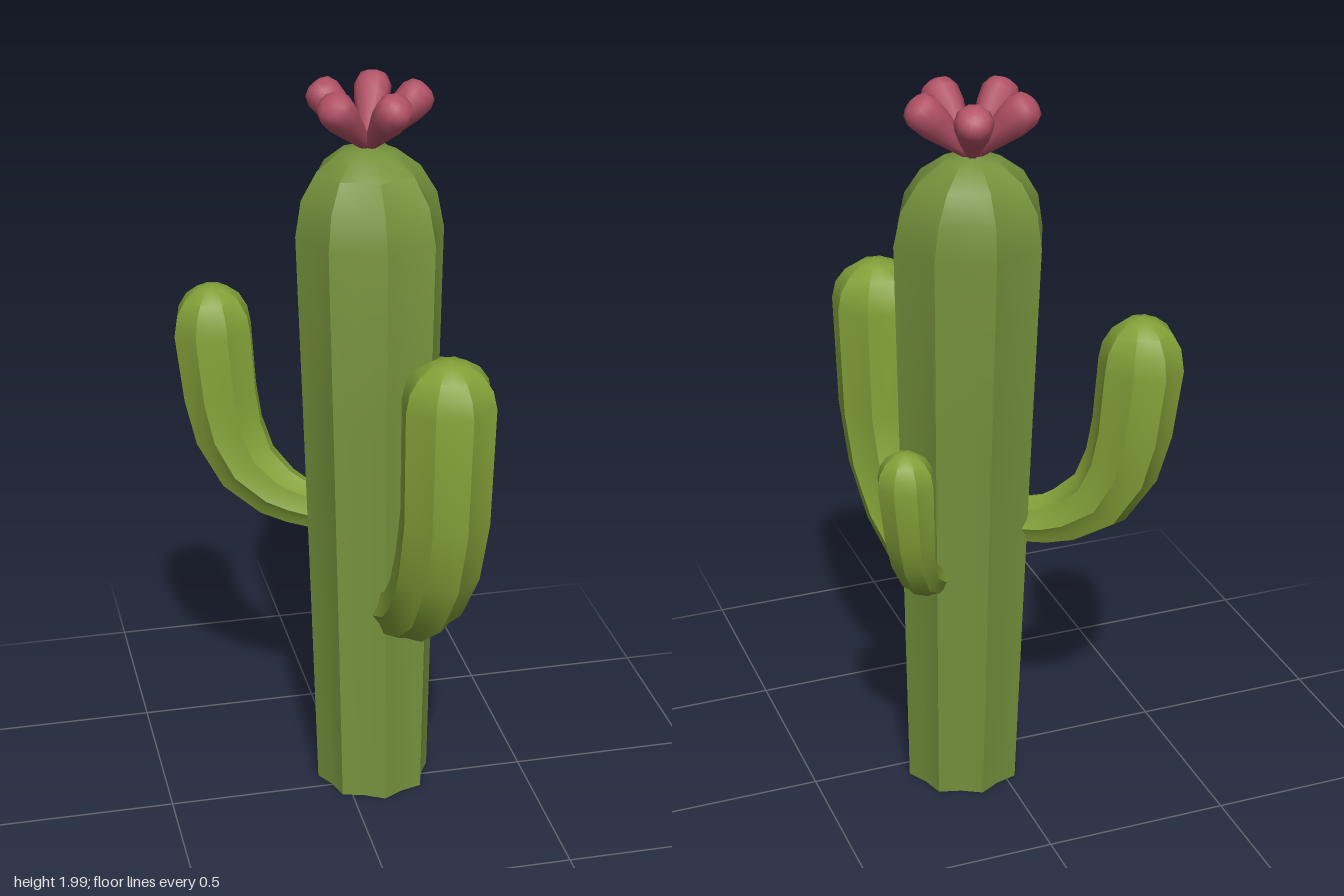
import * as THREE from 'three';
import { toCreasedNormals } from 'three/addons/utils/BufferGeometryUtils.js';

const RIBS = 8;
const VALLEY = 0.88;

// Ribbed, open-based tube through stations [x, y, z, radius], closed by a domed cap.
// side: horizontal vector across the bend; level: keep every ring horizontal.
function ribbedStem(stations, capHeight, capLean, side, level) {
  const rings = stations.map(([x, y, z, r]) => ({ p: new THREE.Vector3(x, y, z), r }));
  const end = rings[rings.length - 1];
  for (const deg of [24, 46, 68, 90]) {
    const a = THREE.MathUtils.degToRad(deg);
    const p = end.p.clone();
    p.y += capHeight * Math.sin(a);
    p.z += capLean * Math.sin(a);
    rings.push({ p, r: end.r * Math.cos(a) });
  }

  const n = RIBS * 2;
  const positions = [];
  const index = [];
  rings.forEach(({ p, r }, i) => {
    const before = rings[Math.max(i - 1, 0)].p;
    const after = rings[Math.min(i + 1, rings.length - 1)].p;
    const tangent = level ? new THREE.Vector3(0, 1, 0) : after.clone().sub(before).normalize();
    const normal = tangent.clone().cross(side).normalize();
    for (let j = 0; j < n; j++) {
      const a = (j / n) * Math.PI * 2;
      const rr = r * (j % 2 ? VALLEY : 1);
      const v = p.clone().addScaledVector(side, rr * Math.cos(a)).addScaledVector(normal, rr * Math.sin(a));
      positions.push(v.x, v.y, v.z);
    }
    if (i === 0) return;
    for (let j = 0; j < n; j++) {
      const k = (j + 1) % n;
      const a = (i - 1) * n + j, b = (i - 1) * n + k, c = i * n + j, d = i * n + k;
      index.push(a, b, c);
      if (i < rings.length - 1) index.push(b, d, c);
    }
  });

  const geometry = new THREE.BufferGeometry();
  geometry.setAttribute('position', new THREE.Float32BufferAttribute(positions, 3));
  geometry.setIndex(index);
  return toCreasedNormals(geometry, THREE.MathUtils.degToRad(38));
}

export function createModel() {
  const model = new THREE.Group();
  model.name = 'cactus';
  const trunkMaterial = new THREE.MeshStandardMaterial({ color: 0x75923c, side: THREE.DoubleSide });
  const armMaterial = new THREE.MeshStandardMaterial({ color: 0x82a038, side: THREE.DoubleSide });
  const petalMaterial = new THREE.MeshStandardMaterial({ color: 0xb05064 });

  const add = (name, geometry, material, parent = model) => {
    const mesh = new THREE.Mesh(geometry, material);
    mesh.name = name;
    parent.add(mesh);
    return mesh;
  };

  // Trunk: widens and leans back slightly towards its dome
  add('trunk', ribbedStem([
    [0.085, 0, -0.055, 0.158],
    [0.085, 0.55, -0.075, 0.171],
    [0.085, 1.1, -0.095, 0.185],
    [0.085, 1.6, -0.115, 0.198],
  ], 0.23, -0.025, new THREE.Vector3(1, 0, 0), true), trunkMaterial);

  // Arms: leave the trunk sideways, then curve upwards
  const arms = [
    { name: 'frontArm', cap: 0.12, path: [
      [0.12, 0.565, 0.03, 0.075], [0.13, 0.58, 0.07, 0.08], [0.145, 0.615, 0.14, 0.09],
      [0.16, 0.695, 0.225, 0.105], [0.175, 0.82, 0.285, 0.115],
      [0.185, 0.97, 0.312, 0.119], [0.193, 1.28, 0.302, 0.124]] },
    { name: 'rightArm', cap: 0.13, path: [
      [-0.04, 0.8, -0.15, 0.062], [-0.1, 0.81, -0.19, 0.068], [-0.15, 0.83, -0.22, 0.077],
      [-0.22, 0.89, -0.27, 0.09], [-0.265, 0.99, -0.3, 0.1],
      [-0.285, 1.1, -0.315, 0.105], [-0.3, 1.28, -0.325, 0.11]] },
    { name: 'leftArm', cap: 0.085, path: [
      [0.18, 0.68, -0.15, 0.037], [0.225, 0.695, -0.2, 0.044], [0.275, 0.75, -0.26, 0.053],
      [0.305, 0.83, -0.295, 0.061], [0.317, 0.9, -0.31, 0.067], [0.33, 1.055, -0.32, 0.075]] },
  ];
  for (const { name, cap, path } of arms) {
    const first = path[0], last = path[path.length - 1];
    const side = new THREE.Vector3(last[2] - first[2], 0, first[0] - last[0]).normalize();
    add(name, ribbedStem(path, cap, 0, side, false), armMaterial);
  }

  // Flower: five club-shaped petals fanning out from the crown
  const flower = new THREE.Group();
  flower.name = 'flower';
  flower.position.set(0.085, 1.82, -0.14);
  model.add(flower);
  const profile = [[0, 0], [0.014, 0.005], [0.046, 0.14], [0.049, 0.18], [0.039, 0.204], [0.02, 0.214], [0, 0.216]];
  const petal = new THREE.LatheGeometry(profile.map(([r, y]) => new THREE.Vector2(r, y)), 10);
  for (let i = 0; i < 5; i++) {
    const mesh = add('petal', petal, petalMaterial, flower);
    mesh.rotation.order = 'YXZ';
    mesh.rotation.set(0, (i / 5) * Math.PI * 2, -THREE.MathUtils.degToRad(45));
  }
  return model;
}
